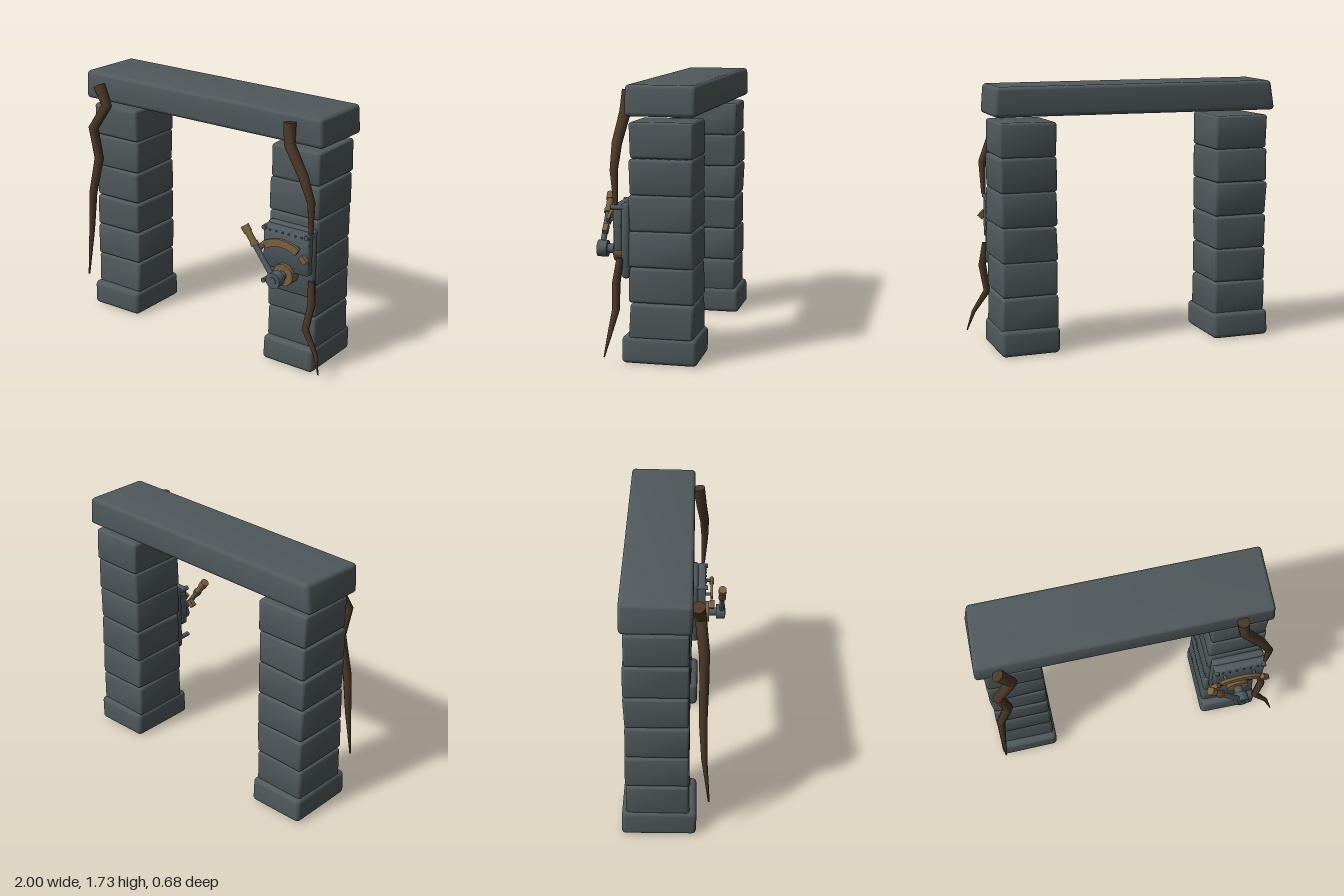
import * as THREE from 'three';
import { toCreasedNormals } from 'three/addons/utils/BufferGeometryUtils.js';
import { RoundedBoxGeometry } from 'three/addons/geometries/RoundedBoxGeometry.js';

const paint = (name, color) => {
  const m = new THREE.MeshStandardMaterial({ color });
  m.name = name;
  return m;
};

export function createModel() {
  const stone = paint('slate stone', 0x50595c);
  const iron = paint('iron', 0x505b61);
  const brass = paint('aged brass', 0x7a6040);
  const wood = paint('root bark', 0x4b3828);
  const model = new THREE.Group();

  let seed = 7;
  const rand = () => (seed = (seed * 16807) % 2147483647) / 2147483647 - 0.5;

  const add = (parent, name, geo, mat, x = 0, y = 0, z = 0) => {
    const mesh = new THREE.Mesh(geo, mat);
    mesh.name = name;
    mesh.position.set(x, y, z);
    parent.add(mesh);
    return mesh;
  };

  // Rounded box between two corners; shift(sx, sy, sz) moves each of its eight corners
  function block(parent, name, mat, a, b, r, shift) {
    const size = b.map((v, i) => v - a[i]);
    const geo = new RoundedBoxGeometry(...size, 3, r);
    if (shift) {
      const corners = [];
      for (const sx of [-1, 1]) for (const sy of [-1, 1]) for (const sz of [-1, 1])
        corners.push([sx, sy, sz, shift(sx, sy, sz)]);
      const p = geo.attributes.position;
      for (let i = 0; i < p.count; i++) {
        const v = [p.getX(i), p.getY(i), p.getZ(i)];
        const u = v.map((c, k) => (2 * c) / size[k]);
        for (const [sx, sy, sz, d] of corners) {
          const w = (1 + sx * u[0]) * (1 + sy * u[1]) * (1 + sz * u[2]) / 8;
          d.forEach((o, k) => { v[k] += w * o; });
        }
        p.setXYZ(i, ...v);
      }
    }
    return add(parent, name, toCreasedNormals(geo, 0.7), mat, ...a.map((v, i) => (v + b[i]) / 2));
  }
  const rough = () => [rand() * 0.012, rand() * 0.006, rand() * 0.012];

  // Pillars: a wide foot and six stacked blocks
  for (const [name, cx] of [['rightPillar', -0.763], ['leftPillar', 0.699]]) {
    const pillar = new THREE.Group();
    pillar.name = name;
    model.add(pillar);
    block(pillar, 'foot', stone, [cx - 0.195, 0.008, -0.335], [cx + 0.195, 0.18, 0.143], 0.03, rough);
    for (let i = 0; i < 6; i++) {
      const y = 0.165 + i * 0.2235;
      block(pillar, 'pillarBlock', stone, [cx - 0.185, y, -0.308], [cx + 0.185, y + 0.2225, 0.095], 0.02, rough);
    }
  }

  // Lintel with slanted ends
  block(model, 'lintel', stone, [-1, 1.54, -0.325], [0.925, 1.735, 0.115], 0.025, (sx, sy, sz) => {
    if (sx < 0) return [sz < 0 ? (sy > 0 ? 0.04 : 0.008) : (sy > 0 ? 0.008 : 0), 0, 0];
    return [(sz > 0 ? -0.015 : 0) + (sy > 0 ? -0.015 : 0), sy > 0 ? -0.005 : 0, 0];
  });

  // Roots: tapered lofts through [x, y, z, radius]
  function root(name, pts) {
    const sides = 10, pos = [], idx = [];
    const P = pts.map(p => new THREE.Vector3(p[0], p[1], p[2]));
    P.forEach((c, i) => {
      const t = P[Math.min(i + 1, P.length - 1)].clone().sub(P[Math.max(i - 1, 0)]).normalize();
      const u = new THREE.Vector3().crossVectors(t, new THREE.Vector3(0, 0, 1)).normalize();
      const v = new THREE.Vector3().crossVectors(t, u);
      for (let k = 0; k < sides; k++) {
        const a = (k / sides) * Math.PI * 2, r = pts[i][3];
        const q = c.clone().addScaledVector(u, r * Math.cos(a)).addScaledVector(v, r * Math.sin(a));
        pos.push(q.x, q.y, q.z);
      }
    });
    for (let i = 0; i < P.length - 1; i++) for (let k = 0; k < sides; k++) {
      const a = i * sides + k, b = i * sides + (k + 1) % sides;
      idx.push(a, b, a + sides, b, b + sides, a + sides);
    }
    const last = (P.length - 1) * sides;
    for (let k = 1; k < sides - 1; k++) idx.push(0, k + 1, k, last, last + k, last + k + 1);
    const geo = new THREE.BufferGeometry();
    geo.setAttribute('position', new THREE.Float32BufferAttribute(pos, 3));
    geo.setIndex(idx);
    geo.computeVertexNormals();
    add(model, name, toCreasedNormals(geo, 1), wood);
  }
  root('rightRoot', [
    [-0.855, 1.655, 0.145, 0.042], [-0.78, 1.53, 0.16, 0.037], [-0.885, 1.36, 0.182, 0.035],
    [-0.84, 1.15, 0.185, 0.032], [-0.91, 0.88, 0.18, 0.028], [-0.925, 0.6, 0.19, 0.02], [-0.937, 0.27, 0.222, 0.006]]);
  root('leftUpperRoot', [
    [0.687, 1.685, 0.142, 0.04], [0.7, 1.55, 0.16, 0.036], [0.82, 1.37, 0.182, 0.032],
    [0.885, 1.21, 0.185, 0.025], [0.882, 1.0, 0.175, 0.014]]);
  root('leftLowerRoot', [
    [0.88, 0.67, 0.15, 0.022], [0.898, 0.52, 0.17, 0.026], [0.865, 0.34, 0.183, 0.024],
    [0.955, 0.2, 0.2, 0.014], [0.996, 0.07, 0.224, 0.004]]);

  // Lever mechanism, built around its pivot
  const X = 0.707, Y = 0.692;
  const mech = new THREE.Group();
  mech.name = 'leverMechanism';
  model.add(mech);
  block(mech, 'backPlate', stone, [0.532, 0.54, 0.088], [0.885, 1.01, 0.145], 0.024);
  block(mech, 'frontPlate', iron, [0.538, 0.712, 0.14], [0.88, 0.998, 0.195], 0.012);

  // Disc facing front, from z0 to z1
  const disc = (name, mat, r, z0, z1, x = X, y = Y, sides = 24) =>
    add(mech, name, new THREE.CylinderGeometry(r, r, z1 - z0, sides).rotateX(Math.PI / 2), mat, x, y, (z0 + z1) / 2);

  for (const [x, y] of [[0.55, 0.98], [0.55, 0.61], [0.868, 0.98]])
    disc('bolt', iron, 0.016, 0.13, 0.21, x, y, 12);
  for (let i = 0; i < 6; i++) disc('rivet', iron, 0.007, 0.19, 0.203, 0.59 + i * 0.048, 0.97, 8);

  // Brass quadrant with an end stop on each side
  const arc = (name, r0, r1, from, to, z, depth) => {
    const s = new THREE.Shape();
    const a = Math.PI / 2 - to, b = Math.PI / 2 - from;
    s.absarc(0, 0, r1, a, b, false);
    s.absarc(0, 0, r0, b, a, true);
    add(mech, name, new THREE.ExtrudeGeometry(s, { depth, bevelEnabled: false, curveSegments: 20 }), brass, X, Y, z);
  };
  arc('quadrant', 0.2, 0.252, -0.6, 0.56, 0.228, 0.02);
  for (const side of [-1, 1]) {
    const a = side * 0.82;
    const stop = add(mech, 'endStop', new THREE.BoxGeometry(0.036, 0.055, 0.032), brass,
      X + 0.23 * Math.sin(a), Y + 0.23 * Math.cos(a), 0.24);
    stop.rotation.z = -a + Math.PI / 2;
    disc('quadrantPost', iron, 0.011, 0.18, 0.232, X + 0.225 * Math.sin(side * 0.45), Y + 0.225 * Math.cos(side * 0.45), 10);
  }

  // Pivot
  disc('pivotCollar', brass, 0.074, 0.14, 0.222);
  disc('pivotShaft', iron, 0.03, 0.2, 0.3);
  disc('pivotHub', iron, 0.052, 0.272, 0.335);
  disc('pivotCap', iron, 0.026, 0.33, 0.341);

  // Lever arm and grip
  const lever = new THREE.Group();
  lever.name = 'lever';
  lever.position.set(X, Y, 0.312);
  lever.rotation.z = 0.635;
  mech.add(lever);
  const rod = (name, mat, r, y0, y1) =>
    add(lever, name, new THREE.CylinderGeometry(r, r, y1 - y0, 16), mat, 0, (y0 + y1) / 2, 0);
  rod('arm', iron, 0.018, 0, 0.27);
  rod('gripRing', brass, 0.027, 0.25, 0.275);
  rod('grip', brass, 0.022, 0.27, 0.36);
  rod('gripCap', brass, 0.028, 0.345, 0.393);

  return model;
}
